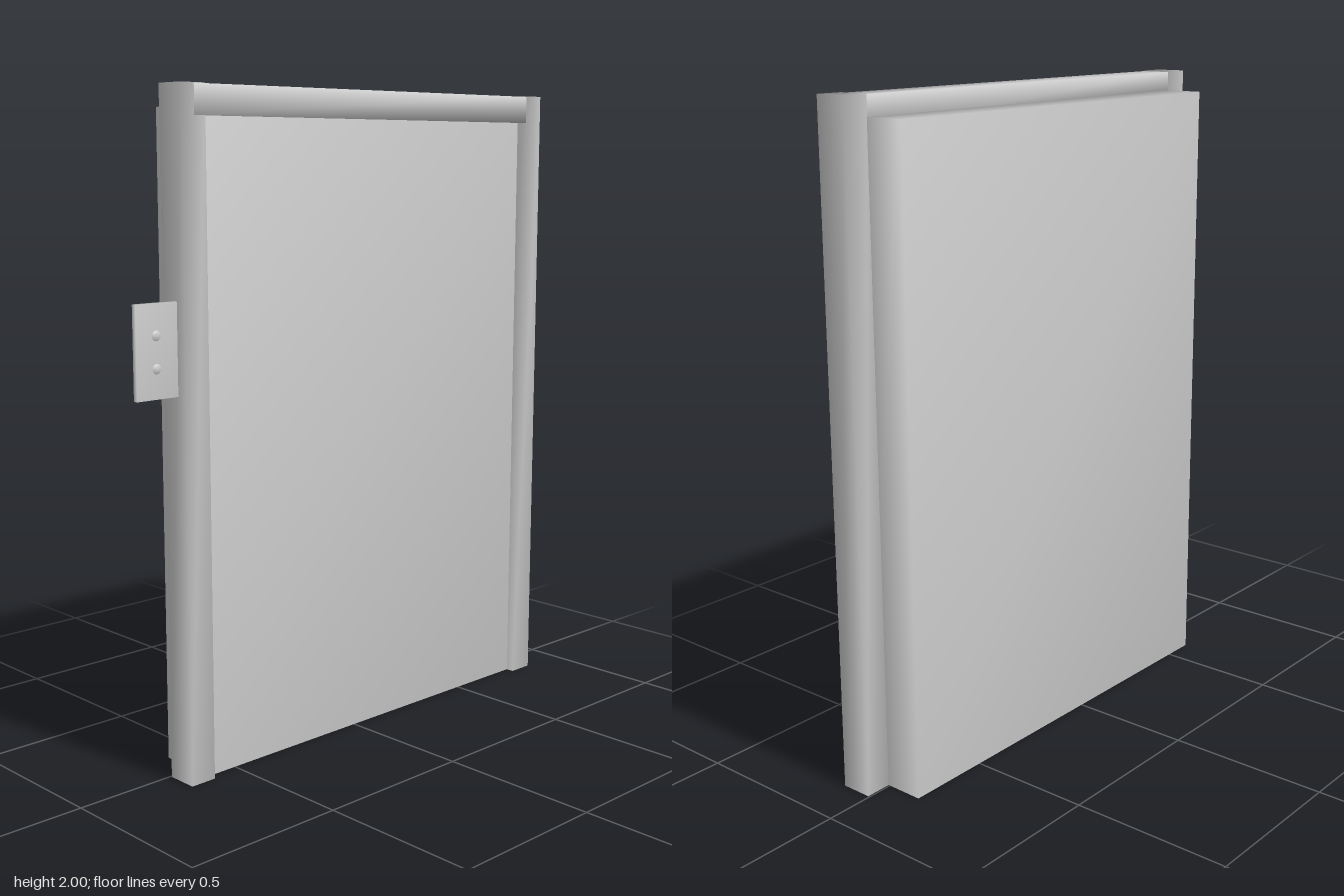
import * as THREE from 'three';
import { mergeVertices } from 'three/addons/utils/BufferGeometryUtils.js';

const material = new THREE.MeshStandardMaterial({ color: 0xcccccc });

// Box given by its extents, with corners shared so shading runs smoothly round the edges
function softBox(name, [x0, x1], [y0, y1], [z0, z1]) {
  let geo = new THREE.BoxGeometry(x1 - x0, y1 - y0, z1 - z0);
  geo.deleteAttribute('normal');
  geo.deleteAttribute('uv');
  geo = mergeVertices(geo);
  geo.computeVertexNormals();
  const mesh = new THREE.Mesh(geo, material);
  mesh.name = name;
  mesh.position.set((x0 + x1) / 2, (y0 + y1) / 2, (z0 + z1) / 2);
  return mesh;
}

export function createModel() {
  const model = new THREE.Group();
  model.name = 'doorway';

  // Thick door slab, set slightly back from the front of the frame
  model.add(softBox('doorSlab', [-0.601, 0.765], [0, 1.94], [-0.117, 0.076]));

  // Frame: two posts and a header let into them
  const frame = new THREE.Group();
  frame.name = 'frame';
  frame.add(
    softBox('rightPost', [-0.683, -0.599], [0, 2], [0.005, 0.102]),
    softBox('leftPost', [0.763, 0.848], [0, 2], [0.005, 0.102]),
    softBox('header', [-0.638, 0.773], [1.913, 1.998], [0.006, 0.104])
  );
  model.add(frame);

  // Call panel: thin plate with two balls set through it
  const panel = new THREE.Group();
  panel.name = 'callPanel';
  panel.add(softBox('panelPlate', [-0.852, -0.712], [1.148, 1.412], [0.091, 0.106]));
  for (const y of [1.232, 1.323]) {
    const button = new THREE.Mesh(new THREE.SphereGeometry(0.029, 32, 20), material);
    button.name = 'button';
    button.position.set(-0.784, y, 0.081);
    panel.add(button);
  }
  model.add(panel);

  return model;
}
